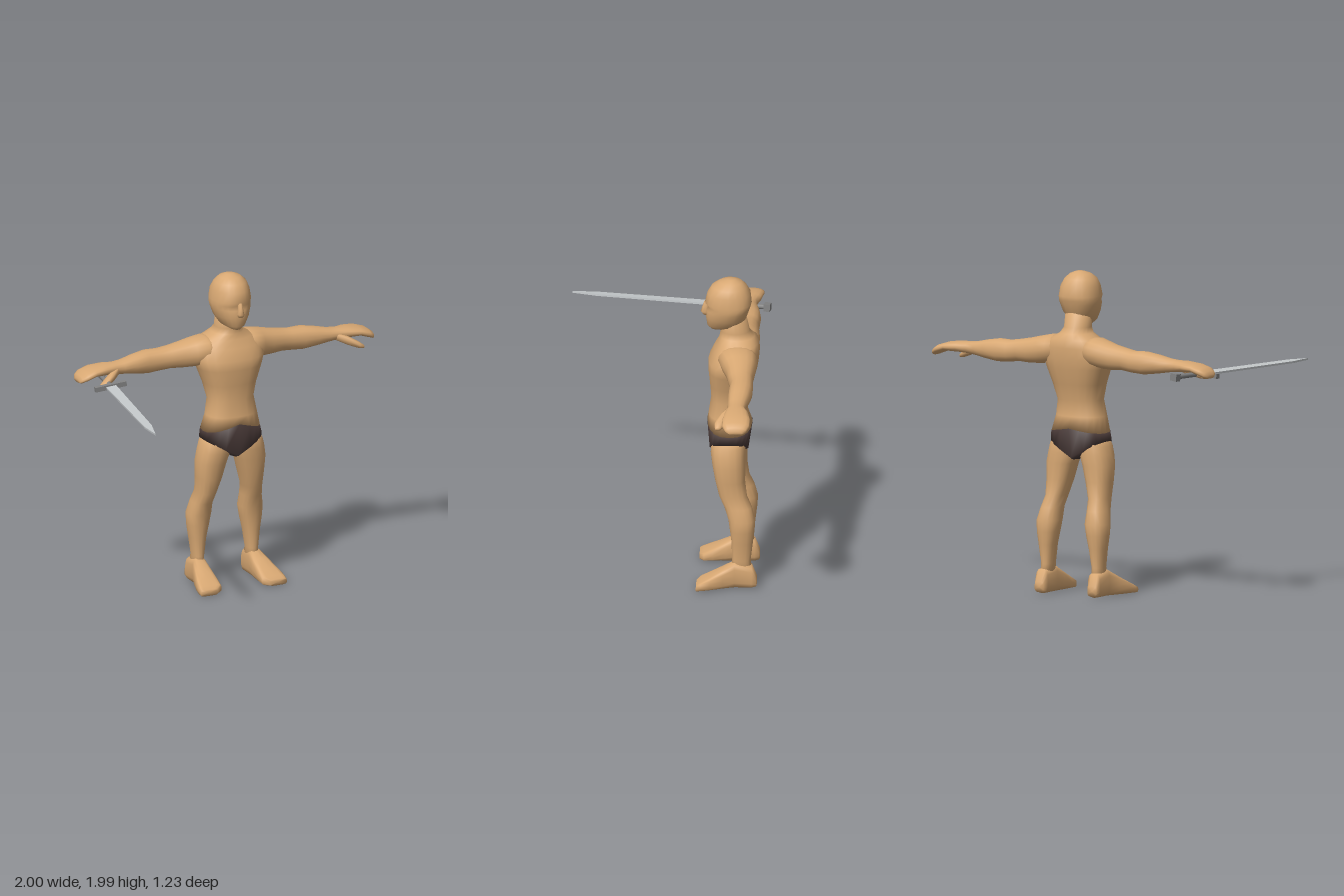
import * as THREE from 'three';

const mat = (name, color) => Object.assign(new THREE.MeshStandardMaterial({ color }), { name });

// Skin a row of rounded sections [t, u0, u1, v0, v1, power] along an axis.
// (u,v) is (x,z) for axis y, (z,y) for axis x and (y,x) for axis z; t may depend on the angle.
function loft(axis, sections, { n = 16, mirror = false, shape = null } = {}) {
  const pos = [], idx = [];
  const place = (u, t, v) => {
    const p = axis === 'y' ? [u, t, v] : axis === 'x' ? [t, v, u] : [v, u, t];
    if (shape) shape(p);
    if (mirror) p[0] *= -1;
    pos.push(...p);
  };
  const tri = (a, b, c) => idx.push(...(mirror ? [a, c, b] : [a, b, c]));
  const pw = (v, p) => Math.sign(v) * Math.pow(Math.abs(v), 2 / p);
  for (const [t, u0, u1, v0, v1, p = 2.3] of sections) {
    for (let j = 0; j < n; j++) {
      const a = (j / n) * Math.PI * 2, c = pw(Math.cos(a), p), s = pw(Math.sin(a), p);
      place((u0 + u1) / 2 + c * (u1 - u0) / 2, typeof t === 'function' ? t(c, s) : t,
        (v0 + v1) / 2 + s * (v1 - v0) / 2);
    }
  }
  const last = sections.length - 1;
  for (let i = 0; i < last; i++) for (let j = 0; j < n; j++) {
    const a = i * n + j, b = i * n + (j + 1) % n;
    tri(a, a + n, b);
    tri(b, a + n, b + n);
  }
  // end caps
  for (const i of [0, last]) {
    const [t, u0, u1, v0, v1] = sections[i];
    const mid = pos.length / 3;
    place((u0 + u1) / 2, typeof t === 'function' ? t(0, 0) : t, (v0 + v1) / 2);
    for (let j = 0; j < n; j++) {
      const a = i * n + j, b = i * n + (j + 1) % n;
      i === 0 ? tri(mid, a, b) : tri(mid, b, a);
    }
  }
  const g = new THREE.BufferGeometry();
  g.setAttribute('position', new THREE.Float32BufferAttribute(pos, 3));
  g.setIndex(idx);
  g.computeVertexNormals();
  return g;
}

export function createModel() {
  const model = new THREE.Group();
  model.name = 'swordsman';
  const skin = mat('skin', 0xd8a873), cloth = mat('dark cloth', 0x463735);
  const steel = mat('blade steel', 0xc4c8ca), iron = mat('dark iron', 0x828282);
  const add = (parent, name, geometry, material) => {
    const m = new THREE.Mesh(geometry, material);
    m.name = name;
    parent.add(m);
    return m;
  };

  // torso and neck, starting at the curved waistband
  const waistband = (c, s) => 1.0 + (s > 0 ? 0.055 : 0.03) * (1 - Math.abs(c));
  const legLine = (c) => 0.955 - 0.105 * (1 - Math.abs(c));
  add(model, 'torso', loft('y', [
    [waistband, -0.186, 0.186, -0.54, -0.265, 2.4],
    [1.1, -0.163, 0.163, -0.512, -0.273, 2.4],
    [1.2, -0.145, 0.145, -0.515, -0.288, 2.4],
    [1.3, -0.168, 0.168, -0.545, -0.28, 2.5],
    [1.4, -0.205, 0.205, -0.57, -0.27, 2.5],
    [1.46, -0.225, 0.225, -0.58, -0.272, 2.4],
    [1.53, -0.215, 0.215, -0.586, -0.305, 2.3],
    [1.58, -0.165, 0.165, -0.58, -0.33, 2.2],
    [1.615, -0.1, 0.1, -0.555, -0.34, 2.1],
    [1.65, -0.083, 0.083, -0.525, -0.345, 2],
    [1.76, -0.083, 0.083, -0.5, -0.34, 2],
  ], { n: 20 }), skin);

  // briefs
  add(model, 'briefs', loft('y', [
    [0.835, -0.03, 0.03, -0.49, -0.31, 2],
    [(c) => legLine(c) - 0.002, -0.196, 0.196, -0.515, -0.278, 2.8],
    [waistband, -0.187, 0.187, -0.541, -0.264, 2.4],
  ], { n: 20 }), cloth);

  // head, with the face narrowing towards the front
  const narrowFace = (p) => {
    const f = Math.max(0, (p[2] + 0.38) / 0.13);
    p[0] *= 1 - 0.22 * Math.min(f, 1);
  };
  add(model, 'head', loft('y', [
    [1.66, -0.035, 0.035, -0.39, -0.285, 2.2],
    [1.685, -0.075, 0.075, -0.47, -0.263, 2.3],
    [1.74, -0.108, 0.108, -0.505, -0.255, 2.4],
    [1.79, -0.124, 0.124, -0.522, -0.257, 2.4],
    [1.815, -0.126, 0.126, -0.53, -0.27, 2.5],
    [1.84, -0.126, 0.126, -0.536, -0.25, 2.5],
    [1.9, -0.118, 0.118, -0.53, -0.264, 2.3],
    [1.945, -0.098, 0.098, -0.505, -0.29, 2.2],
    [1.975, -0.065, 0.065, -0.475, -0.335, 2.1],
    [1.99, -0.025, 0.025, -0.435, -0.385, 2],
  ], { n: 20, shape: narrowFace }), skin);
  add(model, 'nose', loft('y', [
    [1.75, -0.016, 0.016, -0.28, -0.238],
    [1.77, -0.021, 0.021, -0.28, -0.223],
    [1.8, -0.015, 0.015, -0.28, -0.232],
    [1.84, -0.012, 0.012, -0.28, -0.246],
  ], { n: 8 }), skin);

  // paired limbs
  for (const mirror of [false, true]) {
    const side = mirror ? 'right' : 'left', o = { mirror };
    add(model, side + 'Arm', loft('x', [
      [0.08, -0.56, -0.37, 1.45, 1.59],
      [0.16, -0.578, -0.335, 1.42, 1.596],
      [0.23, -0.575, -0.37, 1.41, 1.582],
      [0.3, -0.568, -0.395, 1.408, 1.565],
      [0.38, -0.562, -0.41, 1.413, 1.55],
      [0.45, -0.565, -0.425, 1.405, 1.54],
      [0.53, -0.567, -0.42, 1.4, 1.543],
      [0.62, -0.555, -0.42, 1.412, 1.528],
      [0.7, -0.538, -0.423, 1.425, 1.51],
      [0.76, -0.532, -0.425, 1.432, 1.504],
      [0.82, -0.555, -0.41, 1.437, 1.504],
      [0.9, -0.57, -0.4, 1.44, 1.494],
      [0.96, -0.568, -0.4, 1.42, 1.476],
      [0.99, -0.55, -0.42, 1.408, 1.455],
      [1.0, -0.525, -0.44, 1.41, 1.435],
    ], o), skin);
    add(model, side + 'Thumb', loft('x', [
      [0.74, -0.465, -0.425, 1.435, 1.48],
      [0.8, -0.445, -0.375, 1.408, 1.465],
      [0.86, -0.41, -0.347, 1.388, 1.432],
      [0.893, -0.39, -0.355, 1.385, 1.407],
    ], { n: 10, mirror }), skin);
    add(model, side + 'Leg', loft('y', [
      [0.1, 0.15, 0.225, -0.55, -0.42],
      [0.18, 0.148, 0.219, -0.538, -0.425],
      [0.3, 0.13, 0.235, -0.552, -0.42],
      [0.38, 0.112, 0.247, -0.562, -0.41],
      [0.45, 0.1, 0.25, -0.566, -0.4],
      [0.53, 0.105, 0.23, -0.545, -0.375],
      [0.6, 0.095, 0.216, -0.514, -0.342],
      [0.7, 0.063, 0.222, -0.502, -0.318],
      [0.8, 0.036, 0.227, -0.505, -0.3],
      [0.87, 0.012, 0.215, -0.504, -0.29],
      [0.92, 0.015, 0.202, -0.502, -0.291],
      [0.97, 0.03, 0.18, -0.49, -0.31],
    ], o), skin);
    add(model, side + 'Foot', loft('z', [
      [-0.575, 0.01, 0.075, 0.16, 0.225, 3],
      [-0.545, 0, 0.15, 0.145, 0.235, 3],
      [-0.44, 0, 0.17, 0.142, 0.238, 3],
      [-0.37, 0, 0.13, 0.137, 0.262, 3.2],
      [-0.29, 0, 0.085, 0.135, 0.286, 3.6],
      [-0.235, 0, 0.055, 0.138, 0.295, 4],
      [-0.207, 0, 0.04, 0.175, 0.293, 4],
    ], o), skin);
  }

  // sword held in the right hand, blade along its own +z
  const sword = new THREE.Group();
  sword.name = 'sword';
  sword.position.set(-0.855, 1.413, -0.315);
  sword.rotation.set(0.012, -0.155, 0.12, 'YXZ');
  model.add(sword);
  const outline = new THREE.Shape([[-0.032, 0], [0.032, 0], [0.024, 0.78], [0, 0.937], [-0.024, 0.78]]
    .map(([x, y]) => new THREE.Vector2(x, y)));
  const blade = new THREE.ExtrudeGeometry(outline, { depth: 0.012, bevelEnabled: false });
  add(sword, 'blade', blade.translate(0, 0, -0.006).rotateX(Math.PI / 2), steel);
  add(sword, 'guard', new THREE.BoxGeometry(0.2, 0.03, 0.03), iron);
  add(sword, 'grip', new THREE.CylinderGeometry(0.016, 0.016, 0.27, 8).rotateX(Math.PI / 2), iron)
    .position.z = -0.135;
  add(sword, 'pommel', new THREE.BoxGeometry(0.05, 0.045, 0.04), iron).position.z = -0.28;
  return model;
}
